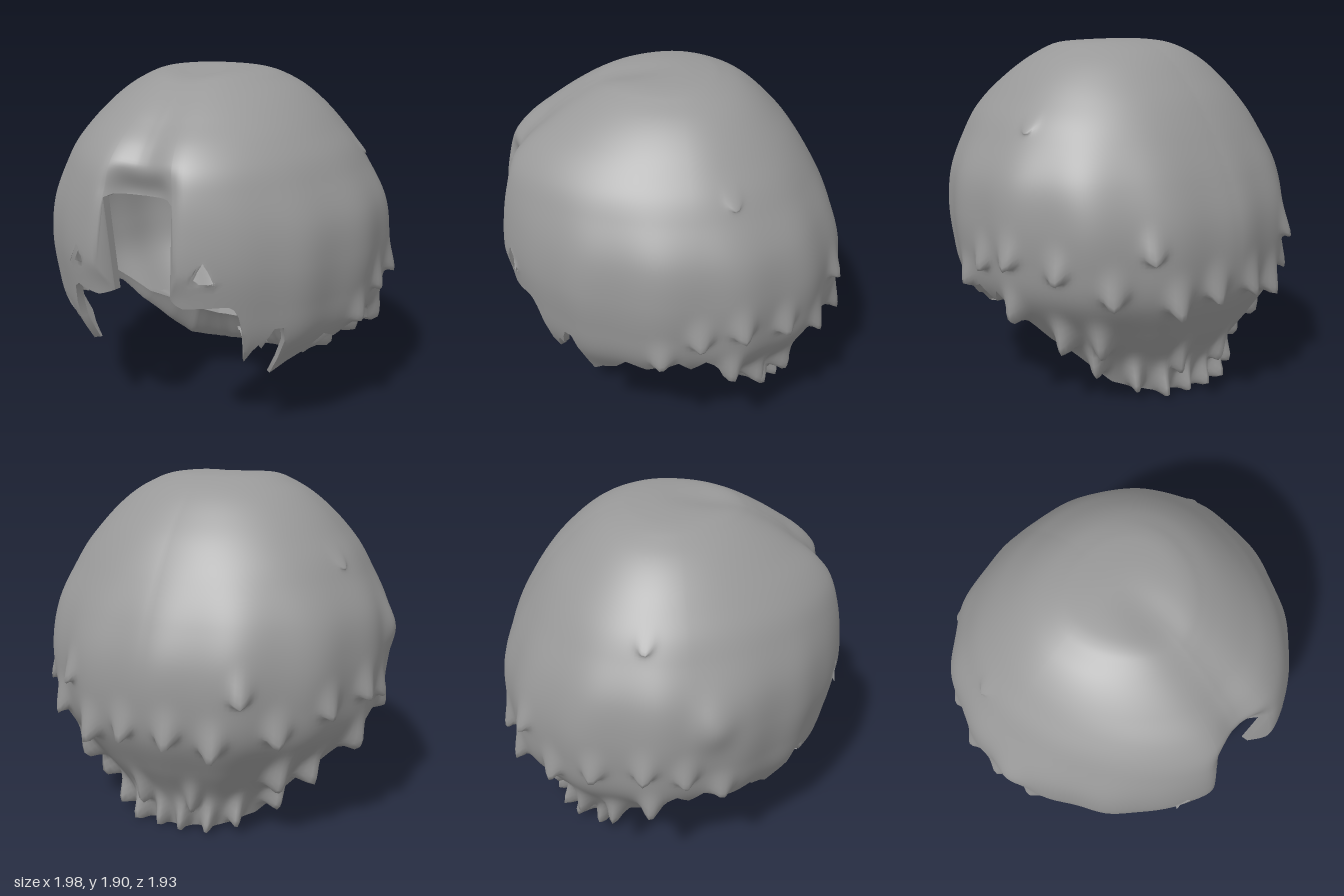
import * as THREE from 'three';

const TOP = 1.91;
// Cross-sections from crown to nape: [height, half width, front depth, back depth]
const SECTIONS = [
  [1.91, 0, 0, 0], [1.895, 0.26, 0.3, 0.22], [1.88, 0.33, 0.38, 0.28], [1.85, 0.4, 0.45, 0.36], [1.8, 0.49, 0.54, 0.44],
  [1.7, 0.61, 0.7, 0.55], [1.6, 0.7, 0.84, 0.64], [1.5, 0.78, 0.925, 0.71], [1.4, 0.84, 0.965, 0.77],
  [1.2, 0.94, 0.995, 0.87], [1.0, 0.965, 1.005, 0.935], [0.8, 0.95, 0.975, 0.945], [0.6, 0.9, 0.93, 0.91],
  [0.4, 0.74, 0.85, 0.8], [0.2, 0.57, 0.8, 0.67], [0, 0.46, 0.8, 0.6],
];
// Hem line: [degrees from the front, height]
const HEM = [
  [0, 1.36], [10.5, 1.35], [13.1, 1.33], [13.5, 0.84], [18, 0.81], [25.5, 0.83], [28.5, 0.8], [31.5, 0.6], [33, 0.46],
  [36, 0.6], [39, 0.56], [42, 0.68], [48, 0.68], [52.5, 0.36], [57, 0.43], [63, 0.47], [67.5, 0.57],
  [75, 0.52], [79.5, 0.59], [85.5, 0.62], [90, 0.53], [94.5, 0.61], [99, 0.56], [103, 0.47],
  [108, 0.34], [118, 0.2], [130, 0.08], [150, 0.03], [180, 0.01],
];
// Lock tips on each side: [degrees from the front, height, spread in degrees, flick out, drop]
const TUFTS = [
  [92, 0.8, 3, 0.05, 0.07], [105, 0.84, 3, 0.05, 0.07], [121, 0.79, 3, 0.05, 0.07], [138, 0.69, 3.2, 0.05, 0.09],
  [150, 0.9, 2.8, 0.05, 0.07], [158, 0.63, 3.2, 0.06, 0.1], [172, 0.68, 3.2, 0.05, 0.1], [80, 0.66, 3, 0.04, 0.05],
  [107, 1.5, 3, 0.06, 0.05], [103, 0.54, 3, 0.07, 0.07], [117, 0.38, 3.2, 0.12, 0.08], [131, 0.37, 3.2, 0.09, 0.08],
  [126, 0.22, 3.4, 0.14, 0.07], [143, 0.12, 3.4, 0.15, 0.06],
  [158, 0.08, 3.4, 0.14, 0.06], [166, 0.22, 3.2, 0.08, 0.07], [173, 0.08, 3.2, 0.12, 0.06],
];
const rad = THREE.MathUtils.degToRad;
const smooth = (x, lo, hi) => THREE.MathUtils.smoothstep(x, lo, hi);
const bell = (v, width) => Math.exp(-((v / width) ** 2));
const depthOf = (y) => Math.sqrt(Math.max(0, TOP - y));

function hem(deg) {
  let d = Math.abs(deg);
  // the mouth opening reaches a little further on the left
  if (deg > 0) d -= 4 * smooth(d, 20, 30) * (1 - smooth(d, 38, 52));
  const i = Math.max(1, HEM.findIndex((h) => h[0] >= d));
  const [a, b] = [HEM[i - 1], HEM[i]];
  return a[1] + (b[1] - a[1]) * (d - a[0]) / (b[0] - a[0]);
}

// Smooth interpolation of one column of the section table
function section(y, col) {
  const u = depthOf(y), n = SECTIONS.length;
  let i = 0;
  while (i < n - 2 && depthOf(SECTIONS[i + 1][0]) < u) i++;
  const U = (k) => depthOf(SECTIONS[k][0]), V = (k) => SECTIONS[k][col];
  const slope = (k) => {
    const lo = Math.max(0, k - 1), hi = Math.min(n - 1, k + 1);
    return (V(hi) - V(lo)) / (U(hi) - U(lo));
  };
  const h = U(i + 1) - U(i), t = Math.min(1, (u - U(i)) / h), t2 = t * t, t3 = t2 * t;
  return (2 * t3 - 3 * t2 + 1) * V(i) + (t3 - 2 * t2 + t) * h * slope(i)
    + (3 * t2 - 2 * t3) * V(i + 1) + (t3 - t2) * h * slope(i + 1);
}

// Point of the smooth head of hair, without lock tips
function basePoint(deg, y) {
  const a = rad(deg), d = Math.abs(deg);
  // strands ripple, the temples are flatter and the back corners fuller
  const corner = Math.sin(2 * rad(d)) * (d > 90 ? 0.025 : deg < 0 ? 0.045 : 0.03);
  const ripple = 1 - corner + 0.01 * Math.sin(a * 14 + 1) * smooth(d, 25, 60) * (1 - smooth(y, 0.9, 1.6))
    + 0.05 * bell(deg + 84, 6) * bell(y - 1.08, 0.13);
  let x = section(y, 1) * Math.sin(a) * ripple;
  let z = section(y, d < 90 ? 2 : 3) * Math.cos(a) * ripple;
  // fringe locks flare towards the middle at their feet
  x *= 1 - 0.26 * bell(d - 13.5, 6) * (1 - smooth(y, 0.84, 1));
  if (d < 90) {
    // centre parting, deepening into the recess over the brow
    z -= 0.08 * bell(x, 0.14) * (1 - smooth(y, 1.5, 1.86))
      + 0.09 * Math.exp(-((x / 0.18) ** 4)) * (1 - smooth(y, 1.36, 1.53));
  }
  const parting = 0.025 * bell(x, 0.13) * smooth(z, -0.1, 0.25);
  return new THREE.Vector3(x, y - parting, z);
}

// Outer surface: lock tips swell gently from above, then hook out and down
function hairPoint(deg, y) {
  const p = basePoint(deg, y), d = Math.abs(deg);
  let out = 1, drop = 0;
  for (const [td, ty, spread, flick, fall] of TUFTS) {
    const v = y - ty;
    const g = bell(d - td, spread) * bell(v, v > 0 ? 0.08 : 0.045);
    out += flick * g;
    drop += fall * g;
  }
  return p.set(p.x * out, Math.max(0, p.y - drop), p.z * out);
}

// Small triangular gaps in the fringe: [x, y, size]
const GAPS = [[0.355, 0.985, 0.047], [-0.38, 0.985, 0.04]];
function openGap(p) {
  if (p.z < 0) return false;
  for (const [cx, cy, r] of GAPS) {
    const dx = p.x - cx, dy = p.y - cy;
    const g = Math.max(...[-90, 30, 150].map((n) => dx * Math.cos(rad(n)) * 1.15 + dy * Math.sin(rad(n)))) / r;
    if (g < 1) {
      const k = Math.max(g, 0.1);
      p.x = cx + dx / k;
      p.y = cy + dy / k;
      return true;
    }
  }
  return false;
}

const COLUMNS = [];
for (let d = -180; d < 180; d += 1.5) {
  if (d === -12) COLUMNS.push(-13.1);
  COLUMNS.push(d);
  if (d === 12) COLUMNS.push(13.1);
}
COLUMNS.sort((a, b) => a - b);

// Closed ring of columns; open or collapsed cells are left out
function gridGeometry(rows, point, isOpen, inward = false) {
  const points = [], open = [], index = [], n = COLUMNS.length;
  for (let j = 0; j <= rows; j++) {
    for (const deg of COLUMNS) {
      const p = point(deg, j / rows);
      open.push(isOpen(p));
      points.push(p);
    }
  }
  for (let j = 0; j < rows; j++) {
    for (let i = 0; i < n; i++) {
      const k = (i + 1) % n;
      const a = j * n + i, b = j * n + k, c = a + n, d = b + n;
      if (open[a] && open[b] && open[c] && open[d]) continue;
      if (points[a].equals(points[c]) && points[b].equals(points[d])) continue;
      if (inward) index.push(a, b, c, b, d, c);
      else index.push(a, c, b, b, c, d);
    }
  }
  const g = new THREE.BufferGeometry().setFromPoints(points);
  g.setIndex(index);
  g.computeVertexNormals();
  return g;
}

// Rows run level around the head and stop at the hem
const heightAt = (t, bottom) => Math.max(bottom, TOP - 1.92 * t * t);
const lipAmount = (deg) => smooth(Math.abs(deg), 95, 132);

// Lining: thin behind the fringe, thicker towards the back
function innerPoint(deg, t) {
  const p = basePoint(deg, heightAt(t, hem(deg) + 0.24 * lipAmount(deg)));
  const s = 0.955 - 0.025 * smooth(Math.abs(deg), 60, 130);
  return p.set(p.x * s, p.y - 0.045 * smooth(p.y, 1.4, 1.8), p.z * s);
}

// Rolled lip: from the outer hem in to a rim, then back to the lining
function lipPoint(deg, t) {
  if (t > 0.85) return innerPoint(deg, 1);
  const k = lipAmount(deg), a = hairPoint(deg, hem(deg)), b = basePoint(deg, hem(deg));
  const s = 0.955 - 0.25 * k, f = Math.min(1, t / 0.8);
  const p = a.lerp(b.set(b.x * s, b.y + 0.23 * k, b.z * s), f);
  p.y = Math.max(0, p.y - 0.04 * k * Math.sin(f * Math.PI) * (1 - f));
  return p;
}

export function createModel() {
  const model = new THREE.Group();
  model.name = 'hair';
  const grey = new THREE.MeshStandardMaterial({ color: 0x999999, side: THREE.DoubleSide });
  grey.name = 'grey';
  const add = (geometry, name) => {
    const mesh = new THREE.Mesh(geometry, grey);
    mesh.name = name;
    model.add(mesh);
  };
  add(gridGeometry(120, (deg, t) => hairPoint(deg, heightAt(t, hem(deg))), openGap), 'outerHair');
  add(gridGeometry(80, innerPoint, openGap, true), 'hairLining');
  // the nape lip has a small opening in the middle
  const napeGap = (p) => p.z < 0 && Math.abs(p.x) < 0.095 && p.y > 0.035 && p.y < 0.15;
  add(gridGeometry(20, lipPoint, napeGap), 'hemLip');
  return model;
}
